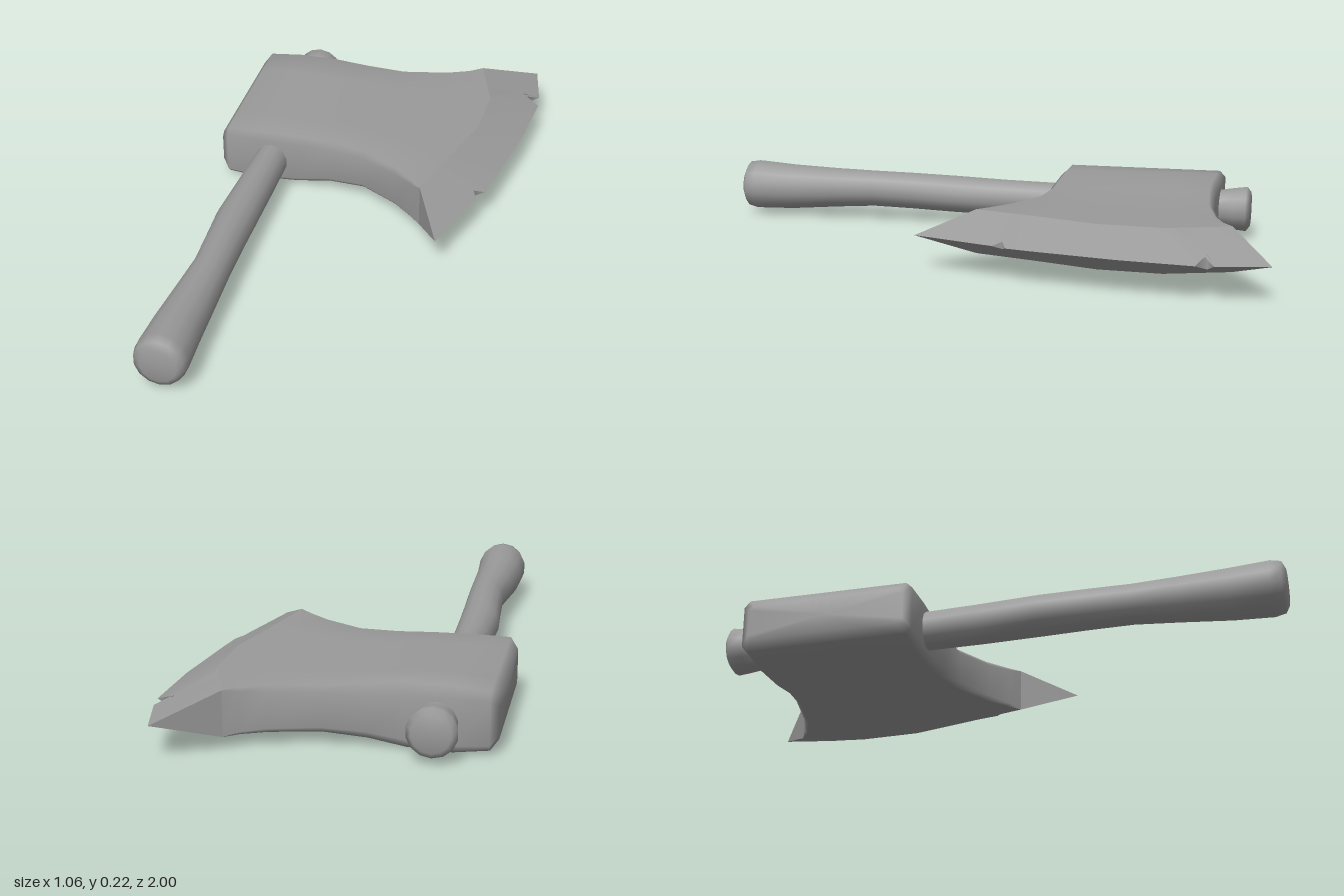
import * as THREE from 'three';

const material = new THREE.MeshStandardMaterial({ color: 0x9a9a9a });

function makeMesh(name, points, index) {
  const geometry = new THREE.BufferGeometry();
  geometry.setAttribute('position', new THREE.Float32BufferAttribute(points.flat(), 3));
  geometry.setIndex(index);
  geometry.computeVertexNormals();
  const mesh = new THREE.Mesh(geometry, material);
  mesh.name = name;
  return mesh;
}

// Smooth skin over rings of points (each clockwise when seen from the far end)
function loft(name, rings, startCentre, endCentre) {
  const n = rings[0].length, last = (rings.length - 1) * n;
  const points = rings.flat(), index = [];
  for (let i = 0; i < rings.length - 1; i++) {
    for (let j = 0; j < n; j++) {
      const a = i * n + j, b = i * n + (j + 1) % n;
      index.push(a, a + n, b + n, a, b + n, b);
    }
  }
  const start = points.push(startCentre) - 1;
  for (let j = 0; j < n; j++) index.push(start, j, (j + 1) % n);
  if (endCentre) {
    const end = points.push(endCentre) - 1;
    for (let j = 0; j < n; j++) index.push(end, last + (j + 1) % n, last + j);
  }
  return makeMesh(name, points, index);
}

const lerp = THREE.MathUtils.lerp;
const SPANS = 4;
const BULGE = [0, 0.041, 0.088, 0.082, 0];

// Point across a head section, t = 0 at the front side and 1 at the back side
function across(s, t) {
  const k = Math.min(Math.floor(t * SPANS), SPANS - 1);
  const bulge = s.bulge * lerp(BULGE[k], BULGE[k + 1], t * SPANS - k);
  return [lerp(s.xFront, s.xBack, t) + bulge, lerp(s.front, s.back, t)];
}

// Head sections: x at front, x at back, front z, back z, bottom, top, chamfer, bulge, tilt
const sections = [
  [-0.53, -0.53, -0.215, -0.745, 0.05, 0.172, 0.015, 0, 0],
  [-0.505, -0.505, -0.19, -0.772, 0.02, 0.203, 0.02, 0, 0.002],
  [-0.39, -0.39, -0.187, -0.772, 0.01, 0.206, 0.022, 0, 0.012],
  [-0.25, -0.25, -0.188, -0.768, 0.018, 0.205, 0.022, 0, 0.016],
  [-0.13, -0.13, -0.188, -0.77, 0.037, 0.201, 0.022, 0, 0.009],
  [0.0, 0.01, -0.17, -0.78, 0.047, 0.197, 0.02, 0.1, 0],
  [0.13, 0.17, -0.1, -0.81, 0.047, 0.197, 0.016, 0.4, 0],
  [0.2, 0.25, -0.045, -0.838, 0.047, 0.197, 0.01, 0.75, 0],
  [0.24, 0.295, -0.015, -0.862, 0.047, 0.197, 0, 1, 0],
].map(([xFront, xBack, front, back, bottom, top, chamfer, bulge, tilt]) =>
  ({ xFront, xBack, front, back, bottom, top, chamfer, bulge, tilt }));

function headRing(s) {
  const upper = [], lower = [];
  for (let k = 0; k <= SPANS; k++) {
    const t = k / SPANS;
    const [x, z] = across(s, t);
    const inset = k === 0 ? -s.chamfer : k === SPANS ? s.chamfer : 0;
    upper.push([x, s.top + s.tilt * t, z + inset]);
    lower.unshift([x, s.bottom - s.tilt * t * 0.5, z + inset]);
  }
  const side = (x, z) => [[x, s.top - s.chamfer, z], [x, s.bottom + s.chamfer, z]];
  return [...upper, ...side(s.xBack, s.back), ...lower, ...side(s.xFront, s.front).reverse()];
}

// Bevel from the end of the head to the chipped cutting edge
function makeBlade() {
  const rim = sections[sections.length - 1];
  const mid = 0.122;
  // Position along the rim, edge x, edge z, half thickness at the edge (chips only)
  const rows = [
    [0, 0.336, 0.172, 0],
    [0.13, 0.42, -0.106, 0],
    [0.16, 0.405, -0.138, 0.012],
    [0.19, 0.442, -0.155, 0],
    [0.25, 0.457, -0.23, 0],
    [0.5, 0.505, -0.52, 0],
    [0.75, 0.526, -0.767, 0],
    [0.8, 0.463, -0.8, 0.025],
    [0.86, 0.52, -0.825, 0],
    [1, 0.484, -1.0, 0],
  ].map(([t, x, z, h]) => {
    const [rx, rz] = across(rim, t);
    return {
      rimTop: [rx, rim.top, rz], rimBottom: [rx, rim.bottom, rz],
      edgeTop: [x, mid + h, z], edgeBottom: [x, mid - h, z],
    };
  });
  const points = [], index = [];
  // Each strip has its own vertices, so it is smooth inside and sharp at its borders
  const strip = (from, to) => {
    const base = points.length;
    rows.forEach((row, i) => {
      points.push(row[from], row[to]);
      const a = base + 2 * i;
      if (i < rows.length - 1) index.push(a, a + 1, a + 3, a, a + 3, a + 2);
    });
  };
  const triangle = (...corners) => corners.forEach((p) => index.push(points.push(p) - 1));
  strip('rimTop', 'edgeTop');
  strip('edgeTop', 'edgeBottom');
  strip('edgeBottom', 'rimBottom');
  const first = rows[0], last = rows[rows.length - 1];
  triangle(first.rimTop, first.rimBottom, first.edgeTop);
  triangle(last.rimBottom, last.rimTop, last.edgeTop);
  return makeMesh('cuttingEdge', points, index);
}

// Handle rings: z, right x, left x, bottom, top
function makeHandle() {
  const profile = [
    [-0.876, -0.405, -0.28, 0.045, 0.168],
    [-0.862, -0.424, -0.263, 0.026, 0.186],
    [-0.82, -0.418, -0.268, 0.03, 0.18],
    [-0.76, -0.408, -0.278, 0.037, 0.17],
    [-0.19, -0.4, -0.284, 0.037, 0.168],
    [0.0, -0.41, -0.282, 0.037, 0.17],
    [0.2, -0.42, -0.28, 0.04, 0.175],
    [0.35, -0.41, -0.278, 0.046, 0.18],
    [0.5, -0.402, -0.274, 0.05, 0.183],
    [0.65, -0.416, -0.27, 0.038, 0.185],
    [0.82, -0.432, -0.266, 0.022, 0.19],
    [0.95, -0.436, -0.258, 0.019, 0.2],
    [0.985, -0.428, -0.264, 0.028, 0.194],
    [0.997, -0.405, -0.285, 0.05, 0.17],
  ];
  const SIDES = 14;
  const rings = profile.map(([z, x0, x1, y0, y1]) =>
    Array.from({ length: SIDES }, (_, j) => {
      const a = (j / SIDES) * Math.PI * 2;
      return [(x0 + x1) / 2 + Math.sin(a) * (x1 - x0) / 2,
        (y0 + y1) / 2 + Math.cos(a) * (y1 - y0) / 2, z];
    }));
  return loft('handle', rings, [-0.342, 0.107, -0.878], [-0.345, 0.11, 1.0]);
}

export function createModel() {
  const model = new THREE.Group();
  model.name = 'axe';
  const head = new THREE.Group();
  head.name = 'axeHead';
  head.add(loft('headBody', sections.map(headRing), [-0.53, 0.111, -0.48]), makeBlade());
  model.add(head, makeHandle());
  return model;
}
